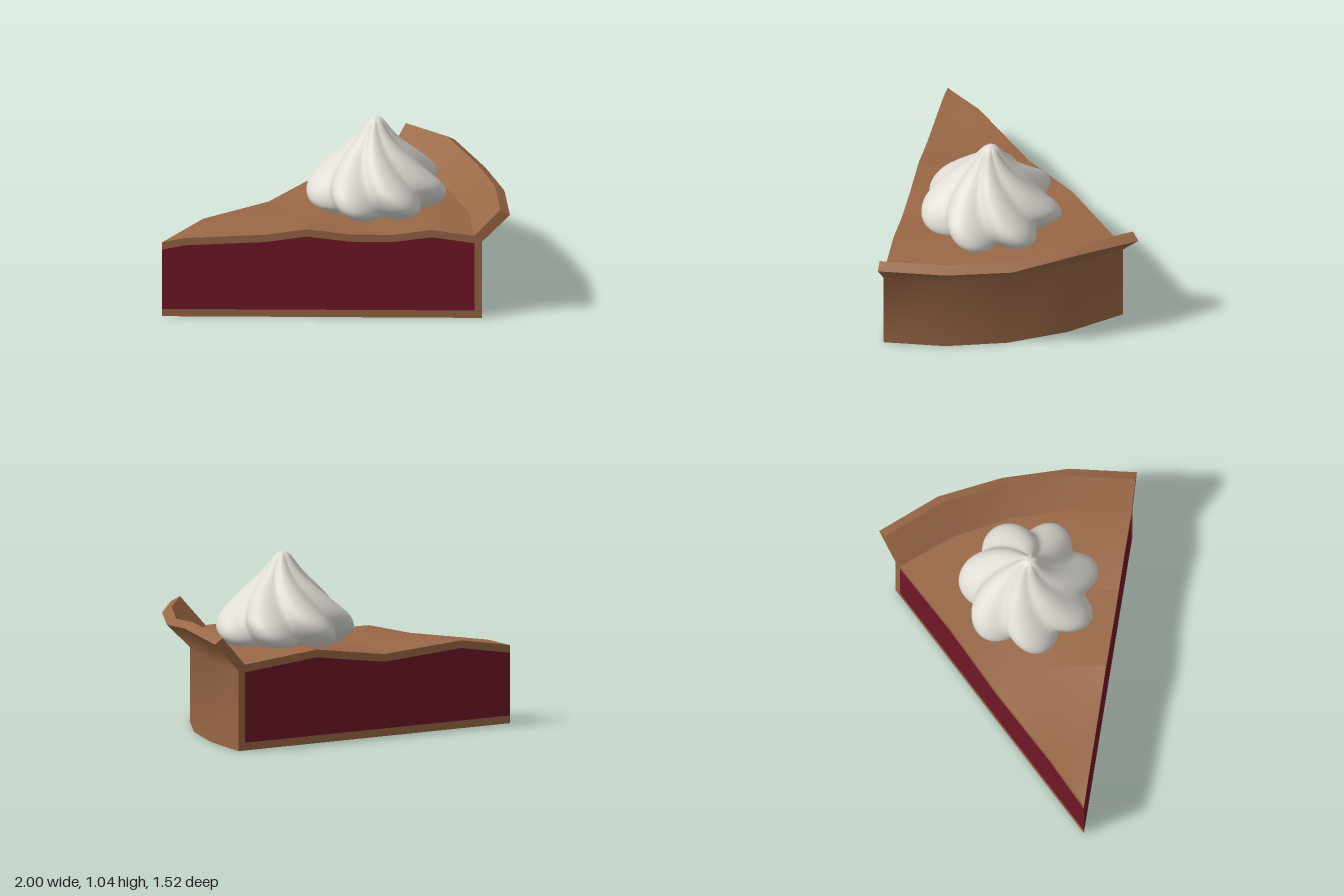
import * as THREE from 'three';

const HALF = THREE.MathUtils.degToRad(22.4); // half angle of the slice
const SEGS = 4;                              // flat facets along the rim
const SKIN = 0.045;                          // crust thickness
const R_FILL = 1.795;
const RIM_WAVE = [0, 0, -0.005, 0.035, 0];   // rim height changes, front to back

// Wavy top edges of the two cut faces: [distance from tip, height]
const FRONT_EDGE = [[0, 0.455], [0.13, 0.482], [0.595, 0.505], [0.83, 0.54], [1.08, 0.51], [1.32, 0.508], [1.55, 0.54], [R_FILL, 0.505]];
const BACK_EDGE = [[0, 0.455], [0.33, 0.512], [0.85, 0.478], [1.31, 0.545], [R_FILL, 0.5]];

const material = (color, side = THREE.FrontSide) => new THREE.MeshStandardMaterial({ color, side });

function heightAt(edge, r) {
  for (let i = 1; i < edge.length; i++) {
    const [r0, y0] = edge[i - 1], [r1, y1] = edge[i];
    if (r <= r1) return THREE.MathUtils.lerp(y0, y1, (r - r0) / (r1 - r0));
  }
  return edge[edge.length - 1][1];
}

// Polar position measured from the tip of the slice
const polar = (r, a, y) => [-1 + r * Math.cos(a), y, r * Math.sin(a)];

// Smooth surface through rows of points
function loft(rows) {
  const n = rows[0].length, index = [];
  for (let i = 0; i < rows.length - 1; i++) {
    for (let j = 0; j < n - 1; j++) {
      const a = i * n + j, b = a + n;
      index.push(a, b, a + 1, b, b + 1, a + 1);
    }
  }
  const geo = new THREE.BufferGeometry();
  geo.setAttribute('position', new THREE.Float32BufferAttribute(rows.flat(2), 3));
  geo.setIndex(index);
  geo.computeVertexNormals();
  return geo;
}

// One row across the slice; height is a function of t (0 front, 1 back)
function arcRow(r, height) {
  return Array.from({ length: SEGS + 1 }, (_, j) => {
    const t = j / SEGS;
    return polar(r, HALF * (1 - 2 * t), height(t, j));
  });
}

// Flat polygon in (distance, height) stood up on a cut face
function cutFace(points, sign) {
  const geo = new THREE.ShapeGeometry(new THREE.Shape(points.map(([x, y]) => new THREE.Vector2(x, y))));
  const pos = geo.attributes.position;
  for (let i = 0; i < pos.count; i++) pos.setXYZ(i, ...polar(pos.getX(i), sign * HALF, pos.getY(i)));
  if (sign < 0) geo.index.array.reverse();
  geo.computeVertexNormals();
  return geo;
}

// Piped cream: seven lobes twisting up to a point
function creamGeometry() {
  const outline = [[0.27, 0.47], [0.32, 0.51], [0.385, 0.55], [0.41, 0.60], [0.395, 0.66], [0.345, 0.72],
    [0.245, 0.81], [0.155, 0.89], [0.095, 0.955], [0.05, 1.015], [0.022, 1.036], [0.001, 1.04]];
  const curve = new THREE.SplineCurve(outline.map(([x, y]) => new THREE.Vector2(x, y)));
  const rings = 40, around = 140, phase = THREE.MathUtils.degToRad(28);
  const rows = [];
  for (let i = 0; i <= rings; i++) {
    const p = curve.getPoint(i / rings);
    const up = THREE.MathUtils.clamp((p.y - 0.55) / 0.49, 0, 1);
    const twist = 0.95 * up;
    const depth = 0.3 * (1 - 0.5 * up);
    const row = [];
    for (let j = 0; j <= around; j++) {
      const a = -j / around * Math.PI * 2;
      const lobe = Math.sqrt(0.06 + 0.94 * Math.cos(3.5 * (a - phase - twist)) ** 2);
      const r = Math.max(p.x, 0.001) * (1 - depth * (1 - lobe));
      row.push([0.325 + r * Math.cos(a), p.y, r * Math.sin(a)]);
    }
    rows.push(row.reverse());
  }
  const geo = loft(rows);
  // Join the normals at the seam
  const nor = geo.attributes.normal;
  for (let i = 0; i <= rings; i++) {
    const a = i * (around + 1), b = a + around;
    const n = new THREE.Vector3().fromBufferAttribute(nor, a).add(new THREE.Vector3().fromBufferAttribute(nor, b)).normalize();
    nor.setXYZ(a, n.x, n.y, n.z);
    nor.setXYZ(b, n.x, n.y, n.z);
  }
  return geo;
}

export function createModel() {
  const model = new THREE.Group();
  model.name = 'pieSlice';
  const crust = material(0x9a6846, THREE.DoubleSide);
  const filling = material(0x711828, THREE.DoubleSide);
  const cream = material(0xdedbd3, THREE.DoubleSide);
  const add = (name, geo, mat) => {
    const mesh = new THREE.Mesh(geo, mat);
    mesh.name = name;
    model.add(mesh);
  };

  // Crust surfaces from the tip, over the rim and back underneath
  const radii = [...new Set([...FRONT_EDGE, ...BACK_EDGE].map(p => p[0]))].sort((a, b) => a - b);
  const topRows = radii.map(r => arcRow(Math.max(r, 0.001),
    t => THREE.MathUtils.lerp(heightAt(FRONT_EDGE, r), heightAt(BACK_EDGE, r), t)));
  const rimInner = arcRow(1.945, (t, j) => 0.668 + RIM_WAVE[j]);
  const rimOuter = arcRow(2, (t, j) => 0.635 + RIM_WAVE[j]);
  const wallTop = arcRow(1.84, () => 0.47);
  const wallBottom = arcRow(1.84, () => 0);
  add('topCrust', loft(topRows), crust);
  add('rimInside', loft([topRows[topRows.length - 1], rimInner]), crust);
  add('rimLip', loft([rimInner, rimOuter]), crust);
  add('outerCrust', loft([rimOuter, wallTop, wallBottom]), crust);
  add('bottomCrust', loft([wallBottom, arcRow(0.001, () => 0)]), crust);

  // Cut faces: crust border and filling
  for (const [label, edge, sign] of [['front', FRONT_EDGE, 1], ['back', BACK_EDGE, -1]]) {
    const inner = edge.map(([r, y]) => [r, y - SKIN]);
    const border = [[0, 0], [1.84, 0], [1.84, 0.47], [2, 0.635], [1.945, 0.668],
      ...[...edge].reverse(), ...inner, [R_FILL, SKIN], [0, SKIN]];
    add(label + 'CrustEdge', cutFace(border, sign), crust);
    add(label + 'Filling', cutFace([[0, SKIN], [R_FILL, SKIN], ...[...inner].reverse()], sign), filling);
  }

  add('whippedCream', creamGeometry(), cream);
  return model;
}
